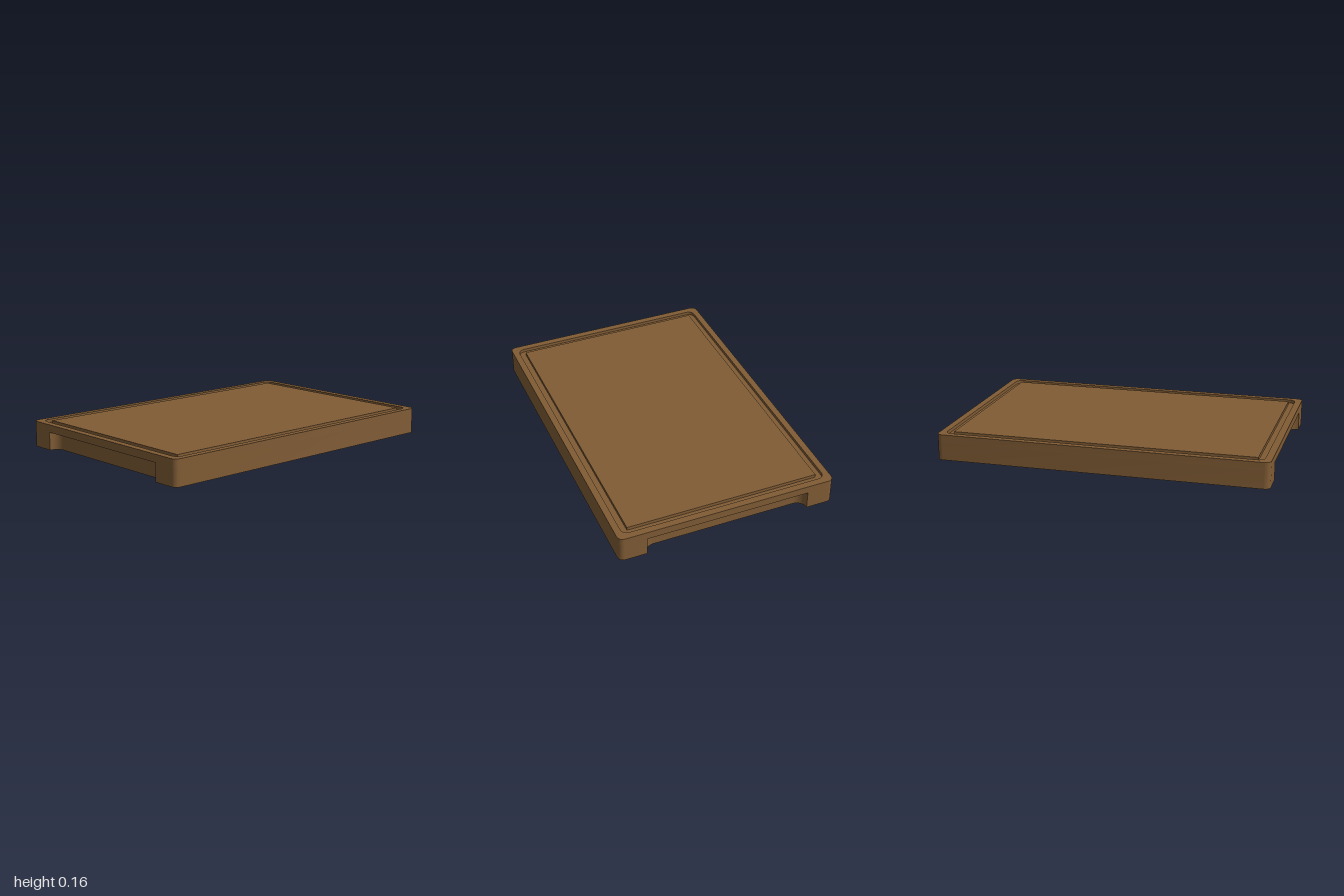
import * as THREE from 'three';
import { toCreasedNormals } from 'three/addons/utils/BufferGeometryUtils.js';

const W = 0.667, L = 1, H = 0.157;            // half width, half length, height
const NX = 0.5, NH = 0.11, NR = 0.06;         // finger notch: half width, height, depth and radius
const GX = 0.588, GZ = 0.918, GW = 0.04;      // juice groove: inner half sizes, width
const GY = H - 0.02;                          // groove floor level

// Points along an arc, clockwise when a1 < a0
function arc(cx, cy, r, a0, a1, n = 8) {
  return Array.from({ length: n + 1 }, (_, i) => {
    const a = a0 + (a1 - a0) * i / n;
    return new THREE.Vector2(cx + r * Math.cos(a), cy + r * Math.sin(a));
  });
}

// Counter-clockwise rounded rectangle
function roundRect(w, l, r) {
  const q = Math.PI / 2;
  return [
    ...arc(-w + r, -l + r, r, 2 * q, 3 * q), ...arc(w - r, -l + r, r, 3 * q, 4 * q),
    ...arc(w - r, l - r, r, 0, q), ...arc(-w + r, l - r, r, q, 2 * q),
  ];
}

// Flat horizontal face at height y
function cap(points, y, up, hole) {
  const shape = new THREE.Shape(points);
  if (hole) shape.holes.push(new THREE.Path(hole));
  const g = new THREE.ShapeGeometry(shape);
  return g.rotateX(up ? -Math.PI / 2 : Math.PI / 2).translate(0, y, 0);
}

// Vertical band around a closed outline
function wall(points, y0, y1) {
  const pos = [];
  points.forEach((a, i) => {
    const b = points[(i + 1) % points.length];
    pos.push(a.x, y0, -a.y, b.x, y0, -b.y, b.x, y1, -b.y);
    pos.push(a.x, y0, -a.y, b.x, y1, -b.y, a.x, y1, -a.y);
  });
  const g = new THREE.BufferGeometry();
  g.setAttribute('position', new THREE.Float32BufferAttribute(pos, 3));
  return toCreasedNormals(g, 0.7);
}

export function createModel() {
  const wood = new THREE.MeshStandardMaterial({ color: 0x805c35 });
  wood.name = 'wood';
  const board = new THREE.Group();
  board.name = 'cuttingBoard';
  const add = (name, geometry) => {
    const mesh = new THREE.Mesh(geometry, wood);
    mesh.name = name;
    board.add(mesh);
  };

  const outer = roundRect(W, L, 0.035);
  const grooveOuter = roundRect(GX + GW, GZ + GW, GW);
  const grooveInner = [[-GX, -GZ], [GX, -GZ], [GX, GZ], [-GX, GZ]].map(p => new THREE.Vector2(...p));

  // Notch curve from left to right along one short end, and the same turned by 180 degrees
  const notch = [
    ...arc(-NX + NR, -L, NR, Math.PI, Math.PI / 2),
    ...arc(NX - NR, -L, NR, Math.PI / 2, 0),
  ];
  const turned = notch.map(p => p.clone().negate());
  const lower = [...outer.slice(0, 9), ...notch, ...outer.slice(9, 27), ...turned, ...outer.slice(27)];

  // Sides and underside
  add('lowerSides', wall(lower, 0, NH));
  add('upperSides', wall(outer, NH, H));
  add('underside', cap(lower, 0, false));
  add('frontNotchCeiling', cap(turned, NH, false));
  add('backNotchCeiling', cap(notch, NH, false));

  // Top with the juice groove
  add('rim', cap(outer, H, true, grooveOuter));
  add('cuttingSurface', cap(grooveInner, H, true));
  add('grooveFloor', cap(grooveOuter, GY, true, grooveInner));
  add('grooveOuterWall', wall([...grooveOuter].reverse(), GY, H));
  add('grooveInnerWall', wall(grooveInner, GY, H));
  return board;
}
